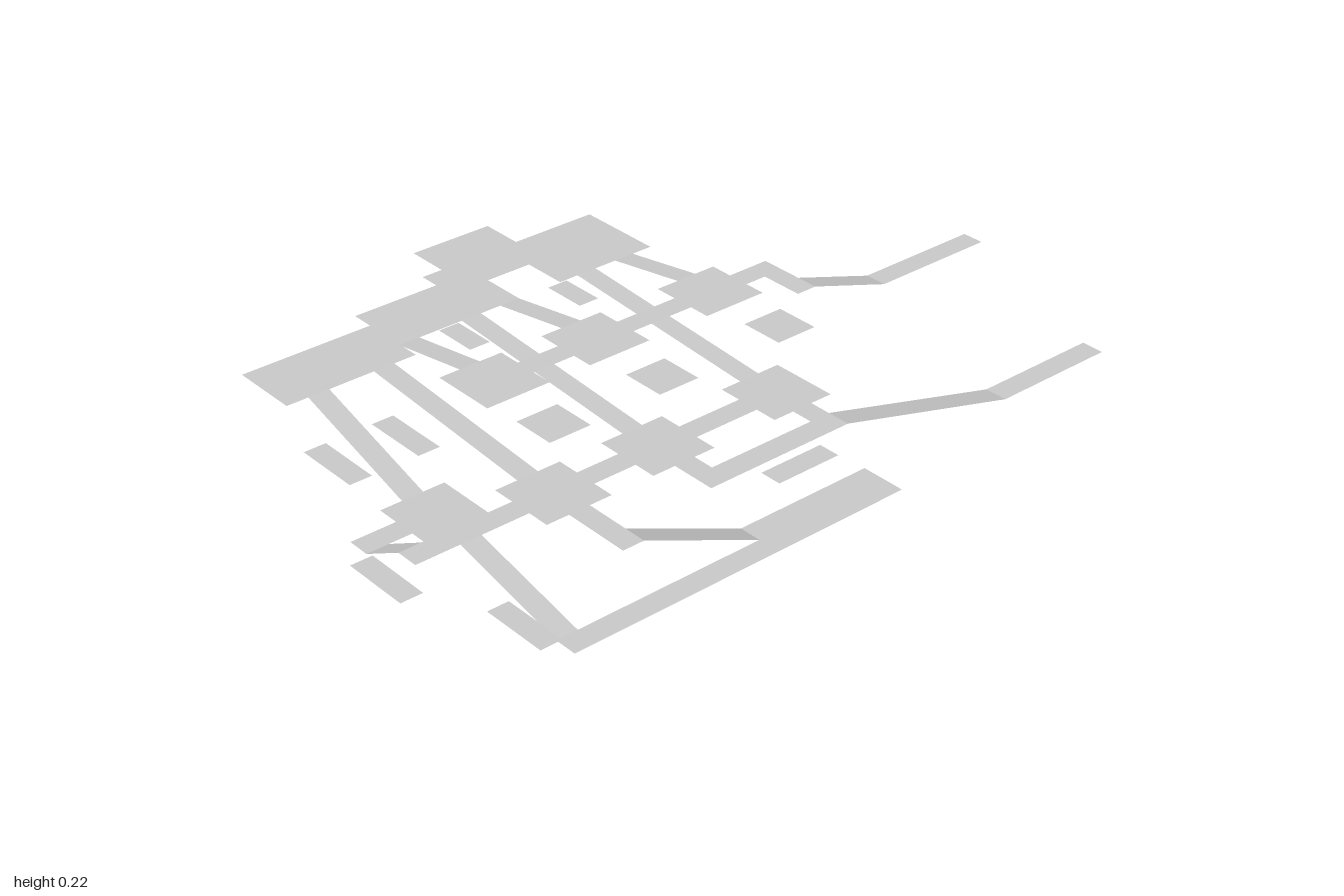
import * as THREE from 'three';

// Deck heights
const HIGH = 0.215, MAIN = 0.178, MID = 0.14, LOW = 0.076, GROUND = 0;

export function createModel() {
  const root = new THREE.Group();
  root.name = 'floorPlan';
  const material = new THREE.MeshStandardMaterial({
    color: 0xcccccc, flatShading: true, side: THREE.DoubleSide,
  });

  // Thin rectangle over x0..x1, z0..z1 whose height is y(x, z)
  function sheet(name, x0, x1, z0, z1, y) {
    const g = new THREE.PlaneGeometry(x1 - x0, z1 - z0);
    g.rotateX(-Math.PI / 2).translate((x0 + x1) / 2, 0, (z0 + z1) / 2);
    const p = g.attributes.position;
    for (let i = 0; i < p.count; i++) p.setY(i, y(p.getX(i), p.getZ(i)));
    g.computeVertexNormals();
    const mesh = new THREE.Mesh(g, material);
    mesh.name = name;
    root.add(mesh);
  }
  const flat = (name, x0, x1, z0, z1, y) => sheet(name, x0, x1, z0, z1, () => y);
  // Ramp along x from height ya at x0 to yb at x1
  const rampX = (name, x0, x1, z0, z1, ya, yb) =>
    sheet(name, x0, x1, z0, z1, (x) => ya + (yb - ya) * (x - x0) / (x1 - x0));
  // Ramp along z from height ya at z0 to yb at z1
  const rampZ = (name, x0, x1, z0, z1, ya, yb) =>
    sheet(name, x0, x1, z0, z1, (x, z) => ya + (yb - ya) * (z - z0) / (z1 - z0));

  // Main stepped platform
  const outline = [
    [-0.555, -0.305], [-0.32, -0.305], [-0.32, -0.02], [-0.44, -0.02], [-0.44, 0.105],
    [-0.32, 0.105], [-0.32, 0.45], [-0.26, 0.45], [-0.26, 0.8], [-0.44, 0.8],
    [-0.44, 0.45], [-0.5, 0.45], [-0.5, 0.215], [-0.555, 0.215], [-0.555, 0.158],
    [-0.67, 0.158], [-0.67, -0.07], [-0.555, -0.07],
  ];
  const shape = new THREE.Shape(outline.map(([x, z]) => new THREE.Vector2(x, -z)));
  const platform = new THREE.Mesh(new THREE.ShapeGeometry(shape).rotateX(-Math.PI / 2), material);
  platform.position.y = MAIN;
  platform.name = 'mainPlatform';
  root.add(platform);

  // Upper rooms: rising ramps, square rooms
  const upper = [[-0.305, -0.13], [0.045, 0.22], [0.335, 0.508]];
  const upperRamps = [-0.22, 0.133, 0.424];
  upper.forEach(([z0, z1], i) => {
    flat('upperRoom', -0.09, 0.084, z0, z1, HIGH);
    rampX('upperRamp', -0.32, -0.09, upperRamps[i] - 0.028, upperRamps[i] + 0.028, MAIN, HIGH);
  });
  // Corridor between the upper rooms, then the jog and rear exit
  [[-0.364, -0.305], [-0.13, 0.045], [0.22, 0.335]].forEach(([z0, z1]) =>
    flat('upperCorridor', -0.03, 0.028, z0, z1, HIGH));
  flat('upperJog', -0.03, 0.142, -0.42, -0.364, HIGH);
  rampZ('upperExitRamp', 0.084, 0.142, -0.655, -0.42, MID, HIGH);
  flat('upperExit', 0.084, 0.142, -1, -0.655, MID);

  // Middle rooms: falling ramps, square rooms, links to the outer corridors
  const middle = [[-0.19, -0.018], [0.16, 0.335], [0.45, 0.625]];
  const middleRamps = [-0.102, 0.246, 0.538];
  const rampStarts = [-0.32, -0.32, -0.26];
  const linkEnds = [0.49, 0.49, 0.608];
  middle.forEach(([z0, z1], i) => {
    const a = middleRamps[i] - 0.028, b = middleRamps[i] + 0.028;
    flat('middleRoom', 0.26, 0.434, z0, z1, MID);
    rampX('middleRamp', rampStarts[i], 0.26, a, b, MAIN, MID);
    flat('middleLink', 0.434, linkEnds[i], a, b, MID);
  });
  [[-0.018, 0.16], [0.335, 0.45], [0.625, 0.917]].forEach(([z0, z1]) =>
    flat('middleCorridor', 0.318, 0.376, z0, z1, MID));

  // Long exit corridor, falling to the ground at the rear
  flat('longCorridor', 0.49, 0.55, -0.13, 0.274, MID);
  rampZ('longExitRamp', 0.49, 0.55, -0.655, -0.13, GROUND, MID);
  flat('longExit', 0.49, 0.55, -1, -0.655, GROUND);

  // Ground pad with its side ramp and outer strip
  flat('groundPad', 0.55, 0.667, -0.19, 0.185, GROUND);
  flat('groundStrip', 0.608, 0.667, 0.185, 0.743, GROUND);
  rampZ('groundRamp', 0.55, 0.608, 0.185, 0.51, GROUND, MID);

  // Low room at the front with its ramps
  rampX('lowRamp', -0.26, 0.084, 0.687, 0.743, MAIN, LOW);
  flat('lowRoom', 0.084, 0.26, 0.63, 0.8, LOW);
  rampX('lowExitRamp', 0.26, 0.608, 0.687, 0.743, LOW, GROUND);
  flat('lowCorridor', 0.142, 0.2, 0.8, 0.917, LOW);
  rampX('frontRamp', 0.2, 0.318, 0.86, 0.917, LOW, MID);

  // Loose floating panels: centre x, z, width, depth, height
  [
    [0.18, -0.27, 0.116, 0.114, 0.18], [0.18, 0.09, 0.116, 0.114, 0.18],
    [0.18, 0.402, 0.116, 0.114, 0.18],
    [-0.23, 0.013, 0.118, 0.056, 0.197], [-0.23, 0.334, 0.118, 0.056, 0.197],
    [-0.062, 0.625, 0.174, 0.058, 0.125], [-0.062, 0.805, 0.174, 0.058, 0.125],
    [0.568, 0.792, 0.174, 0.056, 0.038], [0.348, 0.97, 0.174, 0.056, 0.115],
    [0.602, 0.065, 0.056, 0.174, MID],
  ].forEach(([x, z, w, d, y]) =>
    flat('floatingPanel', x - w / 2, x + w / 2, z - d / 2, z + d / 2, y));

  return root;
}
